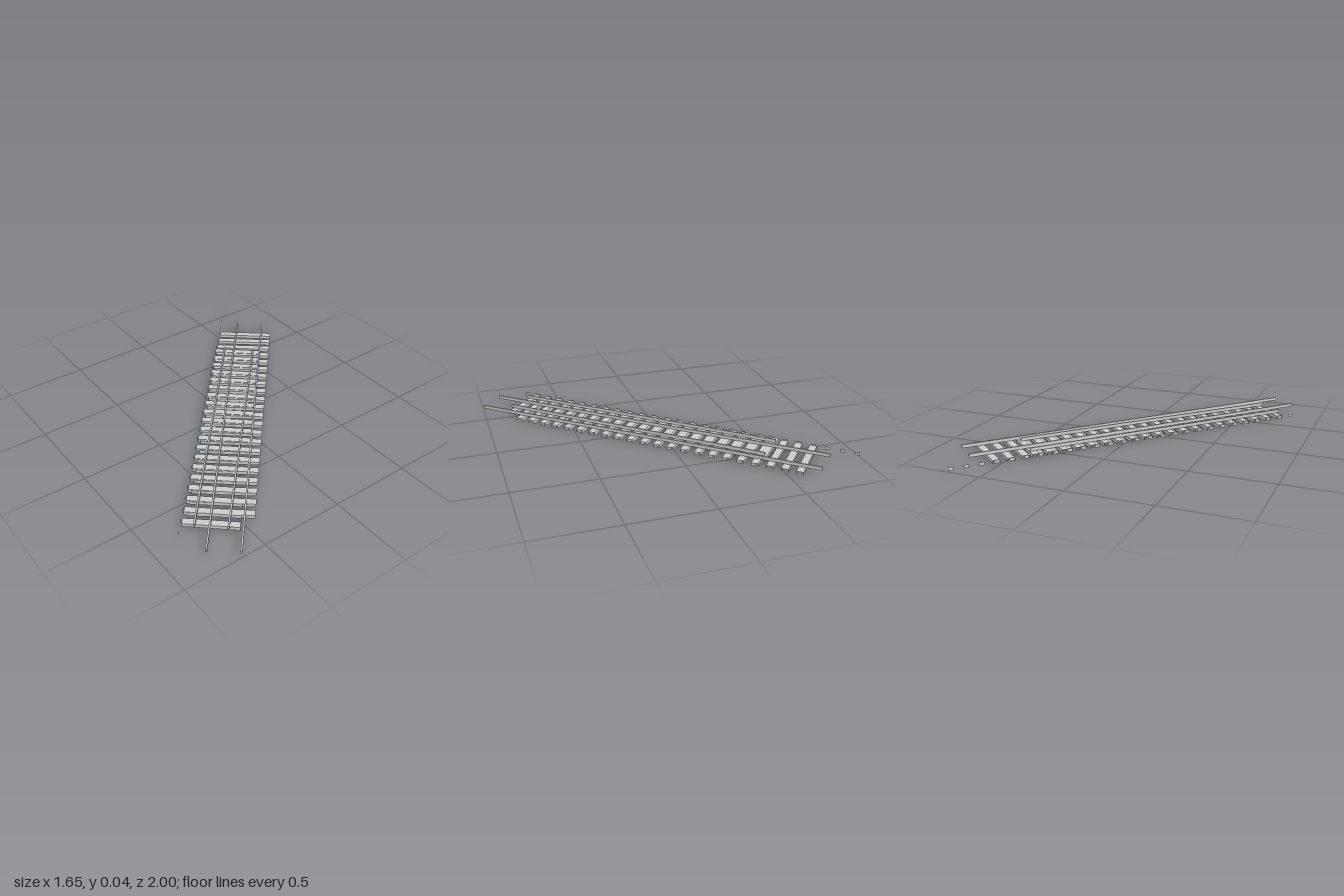
import * as THREE from 'three';

const grey = new THREE.MeshStandardMaterial({ color: 0xcccccc });
const thin = new THREE.MeshStandardMaterial({ color: 0xcccccc, side: THREE.DoubleSide });

// Turn about y that points local +x from a to b, given as [x, z]
const heading = (a, b) => Math.atan2(a[1] - b[1], b[0] - a[0]);

// Plain bar rail running between two ground points, y is its underside
function rail(name, a, b, y) {
  const length = Math.hypot(b[0] - a[0], b[1] - a[1]);
  const mesh = new THREE.Mesh(new THREE.BoxGeometry(length, 0.02, 0.01), grey);
  mesh.name = name;
  mesh.position.set((a[0] + b[0]) / 2, y + 0.01, (a[1] + b[1]) / 2);
  mesh.rotation.y = heading(a, b);
  return mesh;
}

// Hollow sleeper: only the two long sides and the top
function sleeper(length) {
  const geo = new THREE.BoxGeometry(0.042, 0.021, length);
  geo.setIndex([...geo.index.array].slice(0, 18));
  return geo;
}

// Row of equal thin pieces whose centres step from a to b
function row(name, geo, a, b, count, y, twist = 0) {
  const group = new THREE.Group();
  group.name = name + 's';
  for (let i = 0; i < count; i++) {
    const t = i / (count - 1);
    const mesh = new THREE.Mesh(geo, thin);
    mesh.name = name;
    mesh.position.set(a[0] + (b[0] - a[0]) * t, y, a[1] + (b[1] - a[1]) * t);
    mesh.rotation.y = heading(a, b) + twist;
    group.add(mesh);
  }
  return group;
}

export function createModel() {
  const model = new THREE.Group();
  model.name = 'railwayTrack';

  // Long track
  const main = new THREE.Group();
  main.name = 'mainTrack';
  main.add(
    rail('mainLeftRail', [-0.785, 0.88], [0.69, -0.81], 0.023),
    rail('mainRightRail', [-0.65, 0.995], [0.82, -0.69], 0.021),
    row('mainSleeper', sleeper(0.36), [-0.55, 0.69], [0.66, -0.677], 22, 0.0105, 0.03)
  );

  // Shorter track overlapping at a slight angle
  const branch = new THREE.Group();
  branch.name = 'branchTrack';
  branch.add(
    rail('branchLeftRail', [-0.735, 0.7], [0.42, -0.595], 0.024),
    rail('branchRightRail', [-0.6, 0.82], [0.56, -0.46], 0.025),
    row('branchSleeper', sleeper(0.31), [-0.645, 0.728], [0.478, -0.52], 20, 0.0135)
  );

  // Upright end plates along both edges
  const plate = new THREE.PlaneGeometry(0.03, 0.019);
  model.add(
    main,
    branch,
    row('leftEndPlate', plate, [-0.82, 0.68], [0.69, -0.988], 27, 0.017),
    row('rightEndPlate', plate, [-0.3, 0.672], [0.62, -0.363], 17, 0.0115)
  );
  return model;
}
